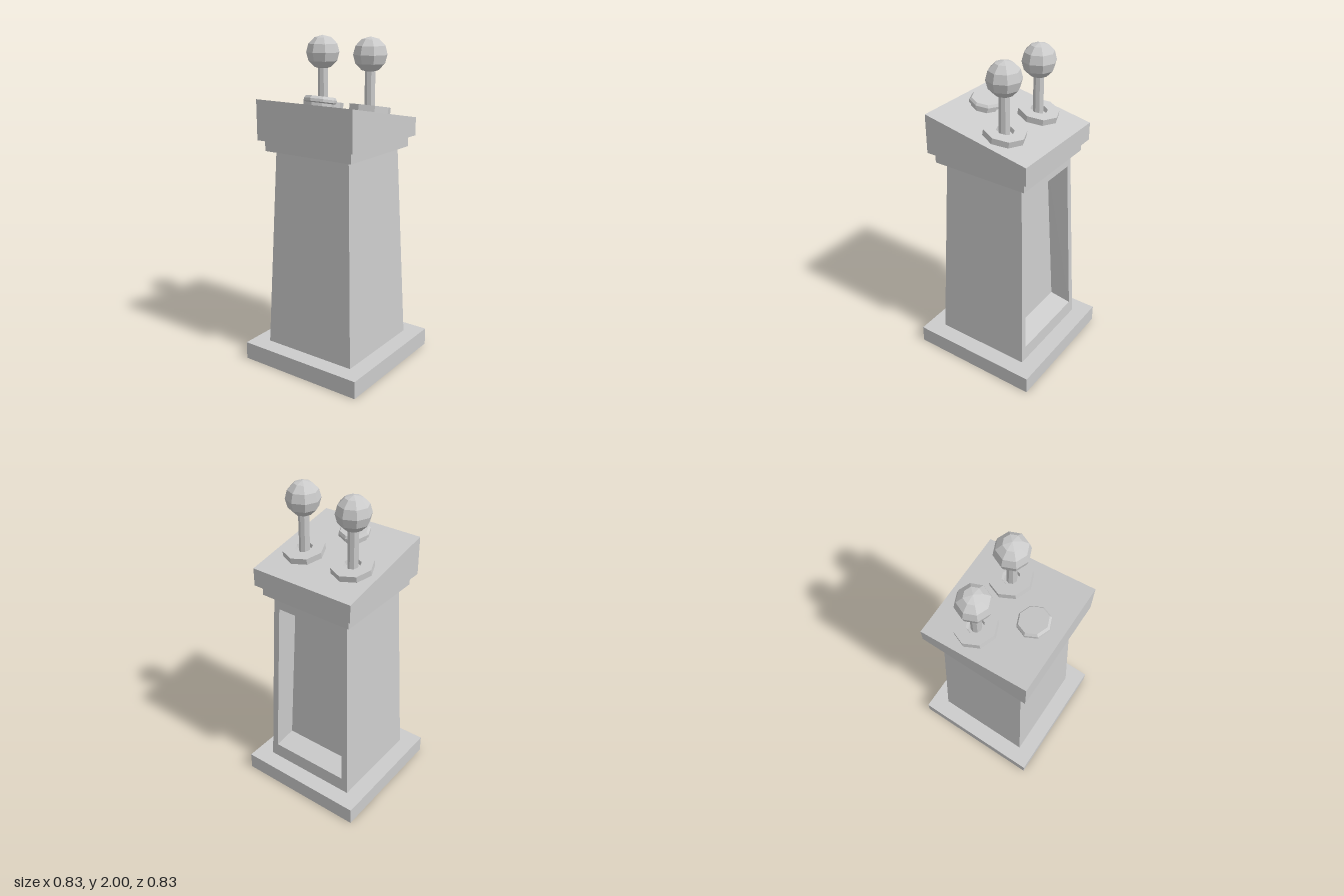
import * as THREE from 'three';

const material = new THREE.MeshStandardMaterial({ color: 0xcccccc, flatShading: true });
const TILT = -Math.atan2(0.13, 0.675);
const deckY = (x) => 1.585 - x * (0.13 / 0.675); // height of the sloping top

function add(parent, name, geometry, x = 0, y = 0, z = 0) {
  const mesh = new THREE.Mesh(geometry, material);
  mesh.name = name;
  mesh.position.set(x, y, z);
  parent.add(mesh);
  return mesh;
}

// Eight-sided turned part from [radius, height] pairs, bottom to top
const turned = (pairs) =>
  new THREE.LatheGeometry(pairs.map(([r, y]) => new THREE.Vector2(r, y)), 8);

// Tapered pillar with a recessed panel on its +x side
function pillarGeometry() {
  const y0 = 0.11, y1 = 1.345;
  const half = (y) => 0.31 - (y - y0) * 0.0405;
  const positions = [];
  const quad = (a, b, c, d) => positions.push(...a, ...b, ...c, ...a, ...c, ...d);
  const strip = (a, b) => {
    for (let i = 0; i < 4; i++) quad(a[i], a[(i + 1) % 4], b[(i + 1) % 4], b[i]);
  };
  // Four corners of a loop lying parallel to the +x side
  const loop = (lo, hi, zLo, zHi, depth) => [
    [half(lo) - depth, lo, zLo], [half(lo) - depth, lo, -zLo],
    [half(hi) - depth, hi, -zHi], [half(hi) - depth, hi, zHi],
  ];
  const side = loop(y0, y1, half(y0), half(y1), 0);
  const opening = loop(0.205, 1.255, 0.265, 0.225, 0);
  const panel = loop(0.24, 1.23, 0.25, 0.21, 0.13);
  strip(side, opening);
  strip(opening, panel);
  quad(...panel);
  // Remaining outer sides and the two ends
  const far = side.map(([x, y, z]) => [-x, y, z]);
  strip(far, side);
  quad(far[3], far[2], far[1], far[0]);
  const geometry = new THREE.BufferGeometry();
  geometry.setAttribute('position', new THREE.Float32BufferAttribute(positions, 3));
  geometry.computeVertexNormals();
  return geometry;
}

// Wedge-shaped head, higher on the -x side
function headGeometry() {
  const h = 0.3375;
  const shape = new THREE.Shape([
    new THREE.Vector2(-h, 1.41), new THREE.Vector2(h, 1.41),
    new THREE.Vector2(h, deckY(h)), new THREE.Vector2(-h, deckY(-h)),
  ]);
  const geometry = new THREE.ExtrudeGeometry(shape, { depth: 2 * h, bevelEnabled: false });
  return geometry.translate(0, 0, -h);
}

function createJoystick(name, x, z) {
  const joystick = new THREE.Group();
  joystick.name = name;
  // Collar with a shallow well around the shaft
  const collar = add(joystick, 'joystickCollar',
    turned([[0.124, 0], [0.124, 0.037], [0.052, 0.037], [0.045, 0.012], [0, 0.012]]),
    x, deckY(x), z);
  collar.rotation.z = TILT;
  add(joystick, 'joystickShaft', new THREE.CylinderGeometry(0.031, 0.031, 0.27, 8), x, 1.695, z);
  add(joystick, 'joystickBall', new THREE.SphereGeometry(0.101, 8, 6), x, 1.899, z);
  return joystick;
}

export function createModel() {
  const model = new THREE.Group();
  model.name = 'controlPedestal';

  // Pedestal
  add(model, 'base', new THREE.BoxGeometry(0.83, 0.11, 0.83), 0, 0.055, 0);
  add(model, 'pillar', pillarGeometry());
  add(model, 'neck', new THREE.BoxGeometry(0.612, 0.067, 0.612), 0, 1.3775, 0);
  add(model, 'head', headGeometry());

  // Controls
  model.add(createJoystick('leftJoystick', 0.083, -0.17));
  model.add(createJoystick('rightJoystick', 0.083, 0.17));
  const button = add(model, 'button',
    turned([[0.08, 0], [0.08, 0.018], [0.096, 0.024], [0.096, 0.04], [0.085, 0.055], [0, 0.055]]),
    -0.175, deckY(-0.175), 0);
  button.rotation.z = TILT;

  return model;
}
